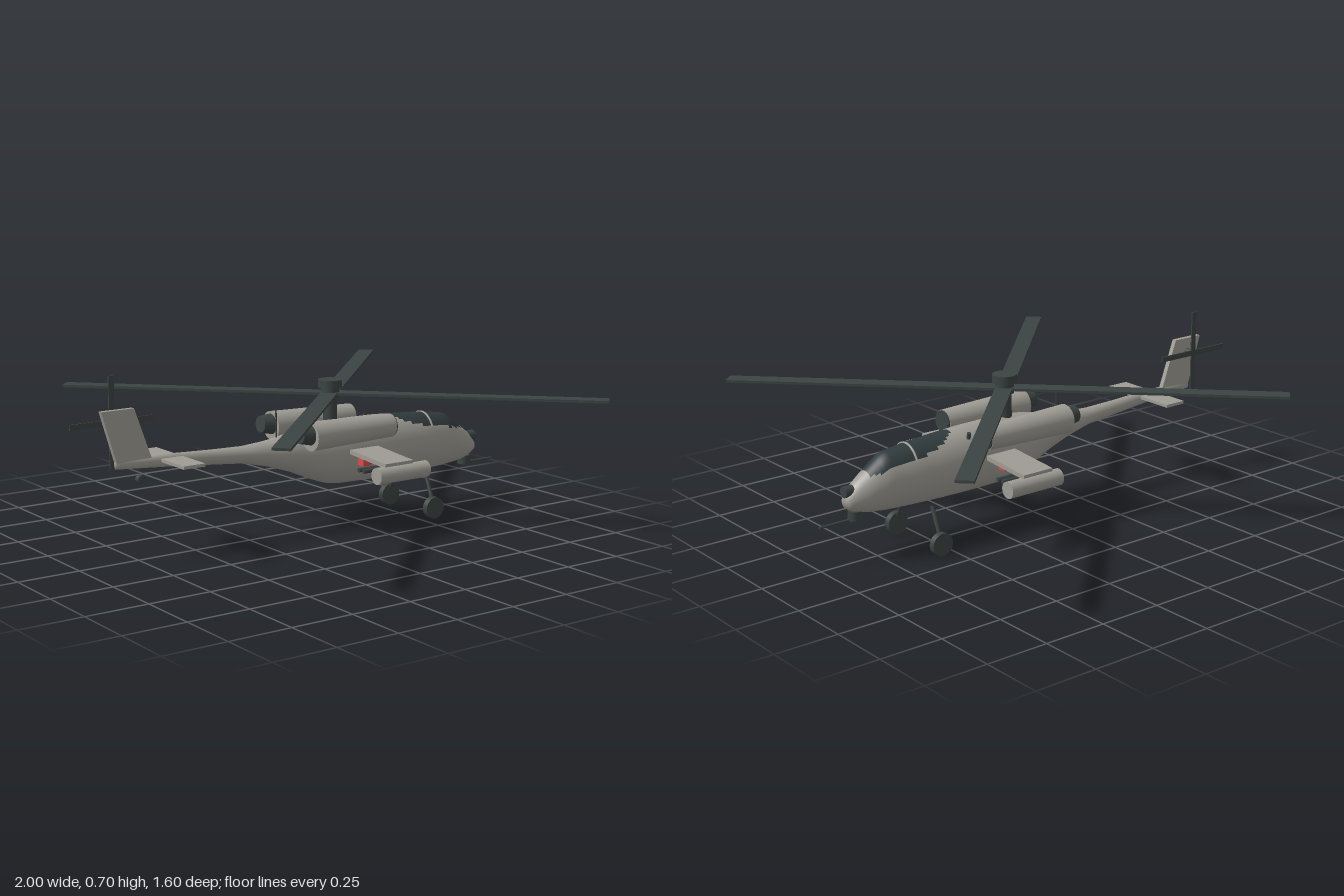
import * as THREE from 'three';

const paint = (name, color) => {
  const m = new THREE.MeshStandardMaterial({ color });
  m.name = name;
  return m;
};

export function createModel() {
  const grey = paint('hull grey', 0x9e9c94);
  const dark = paint('dark metal', 0x3b4442);
  const glass = paint('canopy glass', 0x303a3c);
  const red = paint('red', 0xd84a48);
  const model = new THREE.Group();
  model.name = 'helicopter';

  const add = (name, geo, mat, x = 0, y = 0, z = 0) => {
    const mesh = new THREE.Mesh(geo, mat);
    mesh.name = name;
    mesh.position.set(x, y, z);
    model.add(mesh);
    return mesh;
  };
  const box = (name, mat, size, at) => add(name, new THREE.BoxGeometry(...size), mat, ...at);
  // Round bar between two points, radius r0 at the start and r1 at the end
  const bar = (name, mat, from, to, r0, r1 = r0, sides = 24) => {
    const a = new THREE.Vector3(...from), b = new THREE.Vector3(...to);
    const dir = b.clone().sub(a);
    const mesh = add(name, new THREE.CylinderGeometry(r1, r0, dir.length(), sides), mat);
    mesh.position.copy(a).add(b).multiplyScalar(0.5);
    mesh.quaternion.setFromUnitVectors(new THREE.Vector3(0, 1, 0), dir.normalize());
    return mesh;
  };

  // Fuselage stations: x, top, bottom, half width
  const stations = [
    [-0.84, 0.395, 0.36, 0.01], [-0.6, 0.392, 0.342, 0.019], [-0.42, 0.384, 0.325, 0.025],
    [-0.28, 0.38, 0.312, 0.033], [-0.17, 0.388, 0.286, 0.045], [-0.06, 0.405, 0.25, 0.065],
    [0.04, 0.425, 0.207, 0.083], [0.11, 0.432, 0.182, 0.093], [0.18, 0.435, 0.173, 0.1],
    [0.35, 0.433, 0.17, 0.102], [0.48, 0.426, 0.171, 0.098], [0.6, 0.418, 0.174, 0.09],
    [0.72, 0.402, 0.179, 0.076], [0.8, 0.345, 0.188, 0.06], [0.85, 0.308, 0.2, 0.043],
    [0.885, 0.268, 0.22, 0.024],
  ];
  const lerpTable = (table, x) => {
    let i = 0;
    while (i < table.length - 2 && x > table[i + 1][0]) i++;
    const t = THREE.MathUtils.clamp((x - table[i][0]) / (table[i + 1][0] - table[i][0]), 0, 1);
    return table[i].map((v, k) => v + (table[i + 1][k] - v) * t);
  };
  // Lower edge of the canopy glass: x, height
  const sill = [[0.41, 0.428], [0.47, 0.406], [0.54, 0.382], [0.63, 0.366], [0.8, 0.338]];
  const N = 96, M = 48, pos = [], hullFaces = [], glassFaces = [];
  for (let i = 0; i <= N + 2; i++) {
    const t = THREE.MathUtils.clamp((i - 1) / N, 0, 1);
    const [x, top, bottom, w] = lerpTable(stations, -0.84 + 1.725 * t);
    const s = i === 0 || i === N + 2 ? 0 : 1; // closed ends
    for (let j = 0; j < M; j++) {
      const a = (j / M) * Math.PI * 2;
      pos.push(x, (top + bottom) / 2 + s * (top - bottom) / 2 * Math.cos(a), s * w * Math.sin(a));
    }
  }
  for (let i = 0; i < N + 2; i++) {
    for (let j = 0; j < M; j++) {
      const k = (j + 1) % M;
      const a = i * M + j, b = i * M + k, c = a + M, d = b + M;
      const cx = (pos[a * 3] + pos[d * 3]) / 2, cy = (pos[a * 3 + 1] + pos[d * 3 + 1]) / 2;
      const isGlass = cx > 0.41 && cx < 0.8 && cy > lerpTable(sill, cx)[1];
      (isGlass ? glassFaces : hullFaces).push(a, b, c, b, d, c);
    }
  }
  const hull = new THREE.BufferGeometry();
  hull.setAttribute('position', new THREE.Float32BufferAttribute(pos, 3));
  hull.setIndex([...hullFaces, ...glassFaces]);
  hull.addGroup(0, hullFaces.length, 0);
  hull.addGroup(hullFaces.length, glassFaces.length, 1);
  hull.computeVertexNormals();
  add('fuselage', hull, [grey, glass]);

  // Frame strip across the canopy
  const [fx, fTop, fBottom, fw] = lerpTable(stations, 0.61);
  const arc = [];
  for (let j = -6; j <= 6; j++) {
    const a = (j / 6) * 0.95;
    arc.push(new THREE.Vector3(fx, (fTop + fBottom) / 2 + (fTop - fBottom) / 2 * Math.cos(a), fw * Math.sin(a)));
  }
  add('canopyFrame', new THREE.TubeGeometry(new THREE.CatmullRomCurve3(arc), 24, 0.005, 6), grey);

  // Main rotor
  bar('rotorMast', dark, [0.14, 0.4, 0], [0.14, 0.53, 0], 0.028);
  bar('rotorHub', dark, [0.14, 0.525, 0], [0.14, 0.568, 0], 0.037);
  bar('rotorCap', dark, [0.14, 0.568, 0], [0.14, 0.6, 0], 0.048);
  for (const turn of [1, -1]) {
    box('rotorBlades', dark, [2.19, 0.01, 0.067], [0.14, 0.546, 0]).rotation.y = turn * Math.PI / 4;
  }

  // Tail fin, stabiliser, tail rotor and tail wheel
  const fin = new THREE.Shape([[-0.9, 0.583], [-0.835, 0.37], [-0.69, 0.385], [-0.762, 0.583]]
    .map(p => new THREE.Vector2(...p)));
  add('tailFin', new THREE.ExtrudeGeometry(fin, { depth: 0.02, bevelEnabled: false }), grey, 0, 0, -0.01);
  box('stabiliser', grey, [0.094, 0.012, 0.354], [-0.607, 0.374, 0]);
  bar('tailRotorHub', dark, [-0.825, 0.527, 0], [-0.825, 0.527, -0.05], 0.012);
  box('tailRotorBlade', dark, [0.35, 0.022, 0.006], [-0.825, 0.527, -0.048]);
  box('tailRotorBlade', dark, [0.022, 0.35, 0.006], [-0.825, 0.527, -0.048]);
  bar('tailWheel', dark, [-0.735, 0.31, -0.012], [-0.735, 0.31, 0.012], 0.016);
  bar('antenna', dark, [-0.122, 0.38, 0], [-0.122, 0.506, 0], 0.003, 0.003, 8);

  // Nose sensor and gun
  bar('noseSensor', dark, [0.855, 0.285, 0], [0.892, 0.285, 0], 0.022);
  bar('gunTurret', dark, [0.845, 0.168, 0], [0.845, 0.205, 0], 0.027);
  bar('gunBarrel', dark, [0.845, 0.172, 0], [1, 0.172, 0], 0.005, 0.005, 12);

  // Parts on both sides
  for (const s of [1, -1]) {
    const ez = s * 0.134;
    bar('engine', grey, [-0.055, 0.413, ez], [0.338, 0.413, ez], 0.058, 0.047, 32);
    bar('engineIntake', dark, [0.33, 0.413, ez], [0.343, 0.413, ez], 0.045, 0.045, 32);
    bar('engineExhaust', dark, [-0.105, 0.424, ez], [-0.05, 0.42, ez], 0.034, 0.042);

    const wing = box('stubWing', grey, [0.138, 0.018, 0.25], [0.236, 0.31, s * 0.2]);
    wing.rotation.x = s * 0.08;
    bar('wingPod', grey, [0.13, 0.264, s * 0.317], [0.376, 0.264, s * 0.317], 0.033);
    for (const z of [0.218, 0.247]) {
      bar('missile', dark, [0.12, 0.272, s * z], [0.345, 0.272, s * z], 0.009, 0.009, 12);
    }
    box('redBox', red, [0.04, 0.046, 0.05], [0.227, 0.283, s * 0.11]);
    bar('roofPeg', dark, [0.366, 0.4, s * 0.066], [0.366, 0.424, s * 0.07], 0.008, 0.008, 12);

    // Landing gear
    bar('frontLeg', dark, [0.56, 0.182, s * 0.092], [0.56, 0.07, s * 0.14], 0.008, 0.008, 12);
    bar('frontWheel', dark, [0.56, 0.045, s * 0.134], [0.56, 0.045, s * 0.16], 0.045);
  }
  return model;
}
